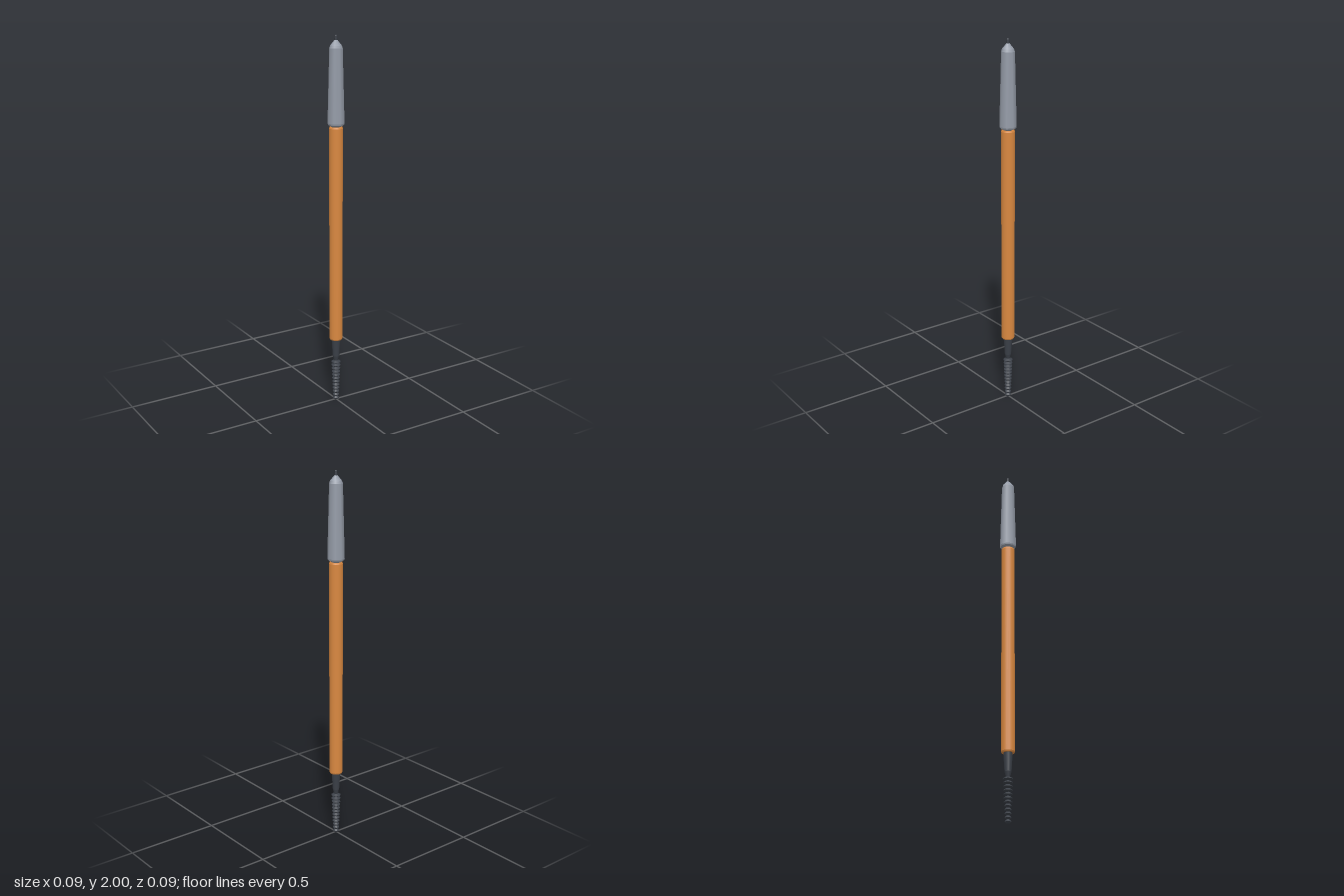
import * as THREE from 'three';
import { mergeGeometries } from 'three/addons/utils/BufferGeometryUtils.js';

// Turned solid: smooth around the axis, sharp between profile rings [radius, y]
function turned(profile, sides) {
  const parts = [];
  for (let i = 0; i < profile.length - 1; i++) {
    const [r0, y0] = profile[i], [r1, y1] = profile[i + 1];
    if (y0 === y1) {
      // flat end cap, facing down at the start and up at the finish
      const disc = new THREE.CircleGeometry(Math.max(r0, r1), sides, Math.PI / 2);
      disc.rotateX(i === 0 ? Math.PI / 2 : -Math.PI / 2);
      disc.translate(0, y0, 0);
      parts.push(disc);
    } else {
      const band = new THREE.CylinderGeometry(r1, r0, y1 - y0, sides, 1, true);
      band.translate(0, (y0 + y1) / 2, 0);
      parts.push(band);
    }
  }
  return mergeGeometries(parts);
}

export function createModel() {
  const group = new THREE.Group();
  const material = (name, color) => {
    const m = new THREE.MeshStandardMaterial({ color });
    m.name = name;
    return m;
  };
  const orange = material('orange barrel', 0xd98840);
  const grey = material('grey cap', 0x959ca8);
  const dark = material('dark charcoal', 0x3b4048);

  const add = (name, profile, sides, mat) => {
    const mesh = new THREE.Mesh(turned(profile, sides), mat);
    mesh.name = name;
    group.add(mesh);
  };

  // Long barrel with small bevels at both ends
  add('barrel', [[0, 0.36], [0.033, 0.36], [0.036, 0.367], [0.036, 1.526], [0.033, 1.534], [0, 1.534]], 16, orange);

  // Octagonal tapered cap with a chamfered rim and conical nose
  add('cap', [[0, 1.532], [0.022, 1.532], [0.043, 1.545], [0.045, 1.553], [0.035, 1.935],
    [0.03, 1.948], [0.008, 1.975], [0, 1.975]], 8, grey);

  // Fine lead at the very top
  add('lead', [[0, 1.965], [0.007, 1.965], [0.006, 1.995], [0.004, 2], [0, 2]], 8, dark);

  // Ferrule holding the brush
  add('ferrule', [[0, 0.235], [0.011, 0.235], [0.018, 0.262], [0.024, 0.362], [0, 0.362]], 12, dark);

  // Spooly brush: a core ringed by tapering ridges
  const ridges = 12, bottom = 0, top = 0.235;
  const step = (top - bottom) / ridges;
  const brush = [[0, bottom], [0.009, bottom]];
  for (let i = 0; i < ridges; i++) {
    const y = bottom + i * step;
    const r = 0.017 + 0.009 * i / (ridges - 1);
    brush.push([r, y + step * 0.42], [r, y + step * 0.58], [0.009 + 0.003 * i / ridges, y + step]);
  }
  brush.push([0, bottom + ridges * step]);
  brush[brush.length - 1][1] = brush[brush.length - 2][1];
  add('brush', brush, 10, dark);

  return group;
}
